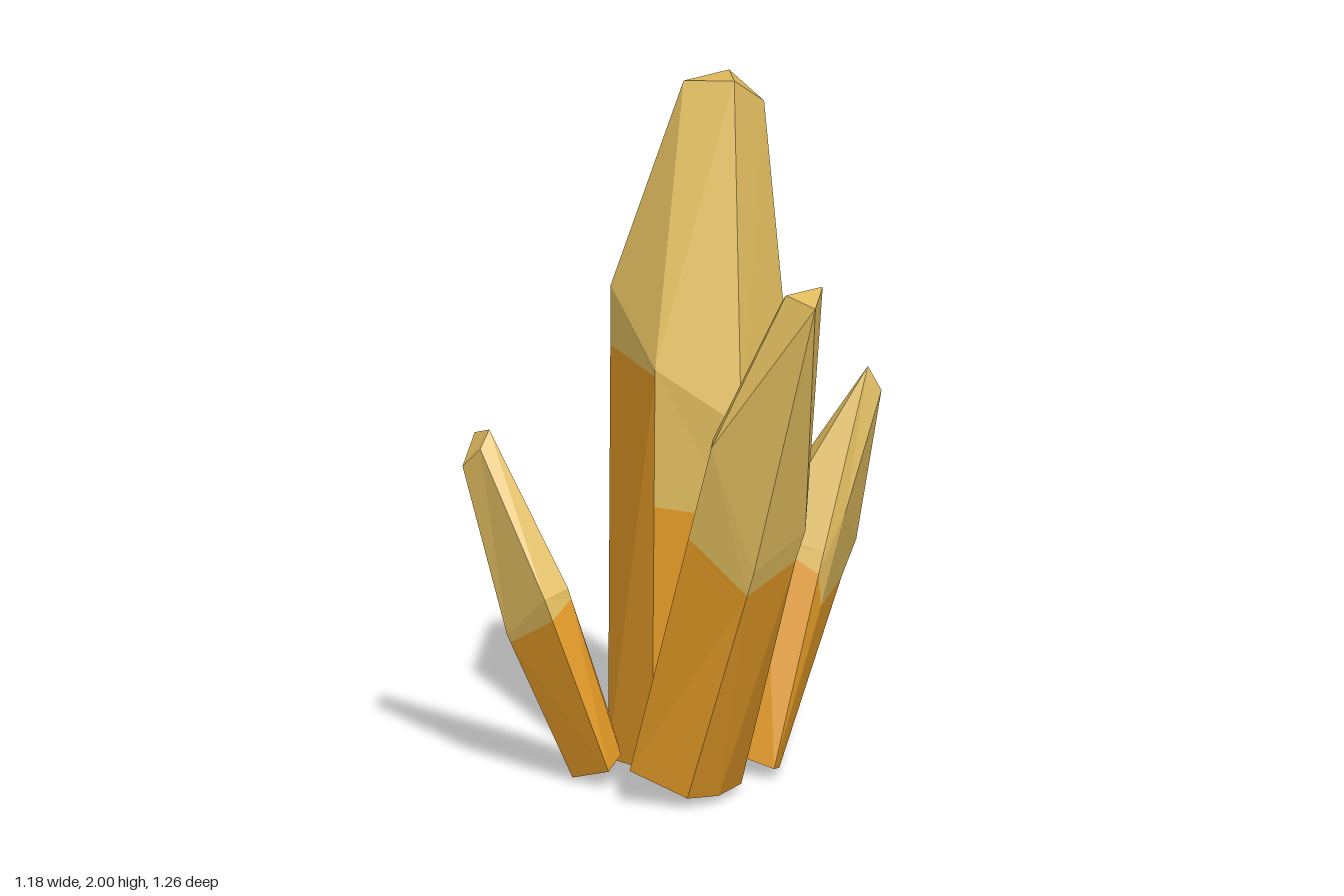
import * as THREE from 'three';

// Each crystal: tip polygon, then its long edges going round the axis.
// Edge = [base point, height of the colour change, shoulder point, index of tip corner it runs to,
//         optional colour height at the far side of the face that starts here]
const CRYSTALS = {
  mainCrystal: {
    tip: [[0.16, 1.99, -0.255], [0.24, 1.92, -0.16], [0.14, 2, -0.09], [0.01, 1.99, -0.16], [0.03, 1.92, -0.28]],
    edges: [
      [[-0.21, 0.05, -0.14], 1.1, [-0.19, 1.4, -0.2], 3],
      [[-0.1, 0.04, -0.25], 1.02, [-0.06, 1.1, -0.36], 4],
      [[0.02, 0.04, -0.27], 0.94, [0.1, 1.4, -0.39], 0],
      [[0.1, 0.04, -0.22], 0.9, [0.19, 1.1, -0.3], 1],
      [[0.13, 0.03, -0.08], 0.82, [0.285, 1.32, -0.1], 1],
      [[0.08, 0.03, 0.02], 0.78, [0.12, 1.05, 0.1], 2, 0.82],
      [[-0.12, 0.05, 0.03], 1.2, [-0.12, 1.22, 0.07], 3, 1.23],
    ],
  },
  frontCrystal: {
    tip: [[0.155, 1.54, 0.54], [0.22, 1.52, 0.63], [0.26, 1.56, 0.54], [0.17, 1.5, 0.43]],
    edges: [
      [[-0.22, 0.1, 0.2], 0.82, [-0.05, 1.1, 0.5], 0],
      [[-0.07, 0.03, 0.27], 0.65, [0.08, 0.72, 0.46], 1],
      [[0.03, 0.02, 0.22], 0.73, [0.24, 0.82, 0.4], 1],
      [[0.12, 0.02, 0.1], 0.83, [0.25, 0.9, 0.24], 2],
      [[0.12, 0.02, 0.06], 0.87, [0.22, 0.91, 0.15], 3],
      [[0.1, 0.05, 0.03], 0.76, [0.14, 0.79, 0.09], 3],
      [[-0.12, 0.06, 0.05], 0.9, [0.01, 1.05, 0.23], 3],
    ],
  },
  rightCrystal: {
    tip: [[-0.59, 0.87, -0.31], [-0.55, 0.96, -0.335], [-0.52, 0.98, -0.28], [-0.55, 0.93, -0.26]],
    edges: [
      [[-0.32, 0.01, -0.1], 0.39, [-0.49, 0.41, -0.18], 0],
      [[-0.26, 0.03, -0.2], 0.46, [-0.41, 0.6, -0.305], 1],
      [[-0.19, 0.15, -0.2], 0.52, [-0.33, 0.56, -0.23], 2],
      [[-0.19, 0.08, -0.06], 0.53, [-0.335, 0.56, -0.09], 2],
      [[-0.24, 0.05, 0.01], 0.48, [-0.41, 0.54, -0.05], 3],
    ],
  },
  leftCrystal: {
    tip: [[0.588, 1.05, -0.22], [0.528, 0.9, -0.3], [0.55, 1.12, -0.225]],
    edges: [
      [[0.26, 0.02, -0.05], 0.46, [0.47, 0.72, -0.15], 0],
      [[0.27, 0.03, -0.18], 0.5, [0.535, 0.6, -0.31], 1],
      [[0.22, 0.06, -0.22], 0.56, [0.37, 0.7, -0.34], 1],
      [[0.16, 0.08, -0.2], 0.63, [0.25, 0.66, -0.31], 2],
      [[0.11, 0.07, -0.08], 0.65, [0.25, 0.67, -0.16], 2],
      [[0.235, 0.03, 0], 0.56, [0.4, 0.62, -0.11], 2],
    ],
  },
  backCrystal: {
    tip: [[0.02, 1.29, -0.615], [0.075, 1.17, -0.635], [0.075, 1.25, -0.57], [-0.01, 1.2, -0.52]],
    edges: [
      [[-0.06, 0, -0.35], 0.62, [-0.085, 0.72, -0.47], 0],
      [[0.04, 0.02, -0.39], 0.58, [0, 0.65, -0.56], 0],
      [[0.12, 0.03, -0.4], 0.58, [0.185, 0.65, -0.53], 1],
      [[0.19, 0.05, -0.33], 0.65, [0.19, 0.75, -0.46], 2],
      [[0.15, 0.1, -0.25], 0.75, [0.12, 0.95, -0.42], 2],
      [[0.02, 0.1, -0.26], 0.78, [-0.05, 0.95, -0.41], 3],
    ],
  },
};

const centroid = (ring) =>
  ring.reduce((sum, p) => sum.add(p), new THREE.Vector3()).divideScalar(ring.length);

// Flat-shaded triangle, turned to face away from the inner point
function addTriangle(out, a, b, c, inner) {
  const n = b.clone().sub(a).cross(c.clone().sub(a));
  if (n.length() < 1e-7) return;
  const order = n.dot(centroid([a, b, c]).sub(inner)) > 0 ? [a, b, c] : [a, c, b];
  order.forEach((p) => out.push(p.x, p.y, p.z));
}

// Four-cornered face, creased outwards along the diagonal further from the axis
function addQuad(out, a, b, c, d, inner) {
  const reach = (p, q) => p.clone().add(q).multiplyScalar(0.5).distanceTo(inner);
  if (c.equals(d) || reach(a, c) > reach(b, d)) {
    addTriangle(out, a, b, c, inner);
    addTriangle(out, a, c, d, inner);
  } else {
    addTriangle(out, a, b, d, inner);
    addTriangle(out, b, c, d, inner);
  }
}

function makeMesh(name, positions, material) {
  const geometry = new THREE.BufferGeometry();
  geometry.setAttribute('position', new THREE.Float32BufferAttribute(positions, 3));
  geometry.computeVertexNormals();
  const mesh = new THREE.Mesh(geometry, material);
  mesh.name = name;
  return mesh;
}

function makeCrystal(name, { tip, edges }, amber, paleGold) {
  const tipRing = tip.map((p) => new THREE.Vector3(...p));
  const base = edges.map((e) => new THREE.Vector3(...e[0]));
  const shoulder = edges.map((e) => new THREE.Vector3(...e[2]));
  const ends = edges.map((e) => tipRing[e[3]]);
  const onEdge = (i, y) =>
    base[i].clone().lerp(shoulder[i], (y - base[i].y) / (shoulder[i].y - base[i].y));
  const shaftMiddle = centroid([...base, ...shoulder]);
  const taperMiddle = centroid([...shoulder, ...ends]);

  // Amber root, open underneath, then pale upper shaft and taper
  const root = [];
  const point = [];
  edges.forEach((e, i) => {
    const j = (i + 1) % edges.length;
    const splitI = onEdge(i, e[1]);
    const splitJ = onEdge(j, e[4] ?? edges[j][1]);
    addQuad(root, base[i], base[j], splitJ, splitI, shaftMiddle);
    addQuad(point, splitI, splitJ, shoulder[j], shoulder[i], shaftMiddle);
    addQuad(point, shoulder[i], shoulder[j], ends[j], ends[i], taperMiddle);
  });

  // Tip facets
  for (let i = 1; i < tipRing.length - 1; i++) {
    addTriangle(point, tipRing[0], tipRing[i], tipRing[i + 1], taperMiddle);
  }

  const crystal = new THREE.Group();
  crystal.name = name;
  crystal.add(makeMesh('crystalRoot', root, amber), makeMesh('crystalPoint', point, paleGold));
  return crystal;
}

export function createModel() {
  const amber = new THREE.MeshStandardMaterial({ color: 0xe39a26, side: THREE.DoubleSide });
  amber.name = 'amber';
  const paleGold = new THREE.MeshStandardMaterial({ color: 0xe0bc5e, side: THREE.DoubleSide });
  paleGold.name = 'pale gold';

  const model = new THREE.Group();
  model.name = 'crystalCluster';
  for (const [name, spec] of Object.entries(CRYSTALS)) {
    model.add(makeCrystal(name, spec, amber, paleGold));
  }
  return model;
}
